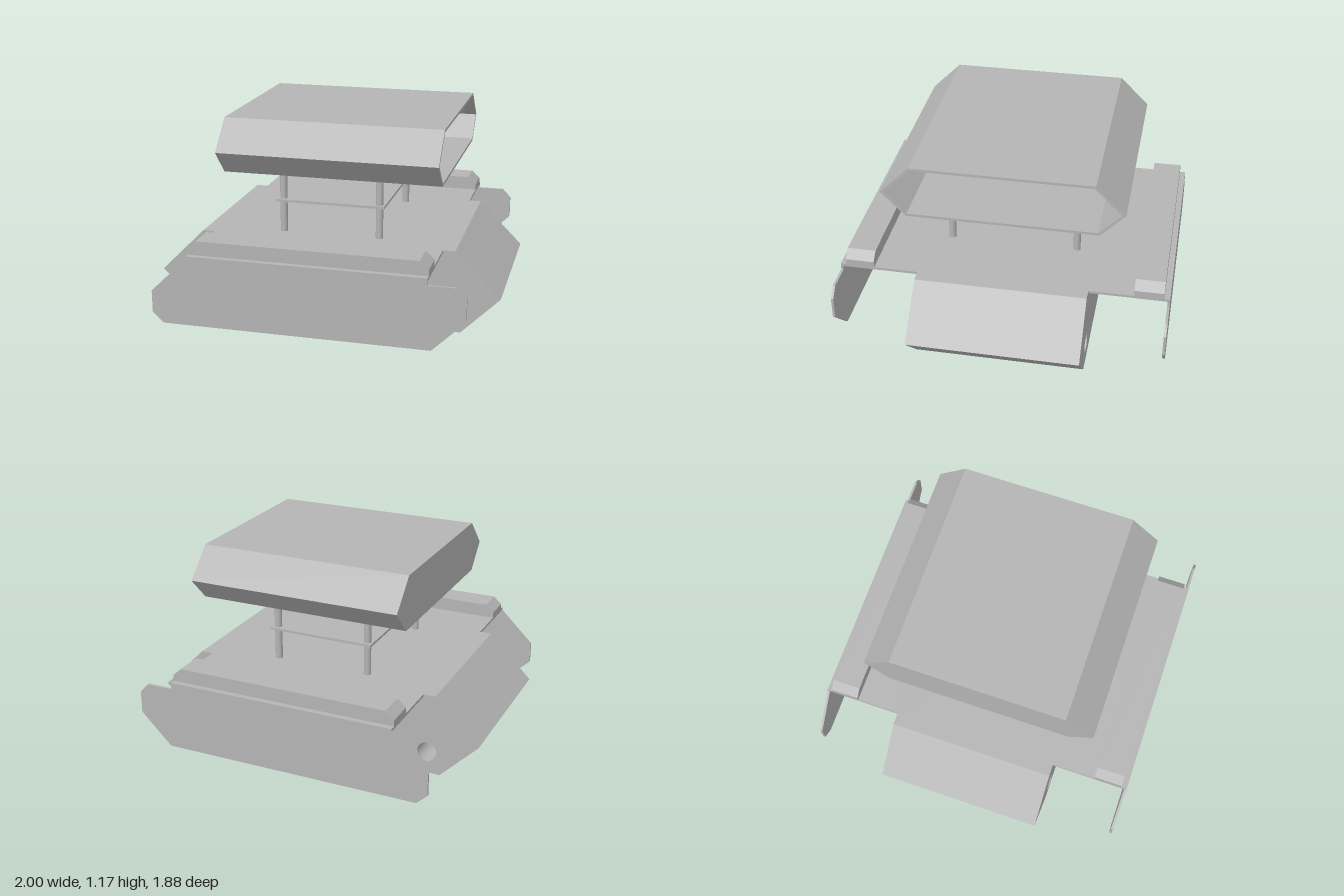
import * as THREE from 'three';

const steel = new THREE.MeshStandardMaterial({ color: 0xb4b4b4 });
steel.name = 'plainGrey';

const toVectors = (points) => points.map(([x, y]) => new THREE.Vector2(x, y));

// Flat plate or prism: an outline in x/y pushed along z from z0 to z1
function prism(outline, z0, z1, holes = []) {
  const shape = new THREE.Shape(toVectors(outline));
  shape.holes.push(...holes);
  const geometry = new THREE.ExtrudeGeometry(shape, { depth: z1 - z0, bevelEnabled: false, curveSegments: 24 });
  return geometry.translate(0, 0, z0);
}

function add(parent, name, geometry) {
  const mesh = new THREE.Mesh(geometry, steel);
  mesh.name = name;
  parent.add(mesh);
  return mesh;
}

export function createModel() {
  const model = new THREE.Group();
  model.name = 'trackedPlatform';

  // Six-sided hull with three axle bores running right through
  const hullOutline = [[-1, 0.22], [-0.78, 0], [0.78, 0], [1, 0.22], [0.74, 0.48], [-0.74, 0.48]];
  const bores = [-0.7, 0, 0.7].map((x) => new THREE.Path().absarc(x, 0.13, 0.057, 0, Math.PI * 2, true));
  add(model, 'hull', prism(hullOutline, -0.488, 0.488, bores));

  // Fender, stowage rail and skirt on each side
  const railOutline = [[-0.67, 0.48], [0.67, 0.48], [0.67, 0.515], [0.62, 0.56], [-0.62, 0.56], [-0.67, 0.515]];
  const skirtOutline = [
    [-0.877, 0.262], [-0.877, 0.135], [-0.815, 0.077], [0.695, 0.077], [0.877, 0.257], [0.877, 0.385],
    [0.825, 0.44], [0.67, 0.44], [0.67, 0.48], [-0.67, 0.48], [-0.67, 0.465],
  ];
  for (const side of [-1, 1]) {
    const span = (near, far) => (side > 0 ? [near, far] : [-far, -near]);
    const group = new THREE.Group();
    group.name = side > 0 ? 'frontSideGuard' : 'backSideGuard';
    model.add(group);
    add(group, 'fender', new THREE.BoxGeometry(1.34, 0.015, 0.44)).position.set(0, 0.4725, side * 0.707);
    add(group, 'rail', prism(railOutline, ...span(0.742, 0.907)));
    add(group, 'skirt', prism(skirtOutline, ...span(0.926, 0.94)));
  }

  // Four posts and the thin shelf they pass through
  for (const x of [-0.283, 0.283]) {
    for (const z of [-0.37, 0.37]) {
      add(model, 'post', new THREE.CylinderGeometry(0.021, 0.021, 0.385, 24)).position.set(x, 0.67, z);
    }
  }
  add(model, 'shelf', new THREE.BoxGeometry(0.635, 0.014, 0.81)).position.set(0, 0.67, 0);

  // Hollow six-sided canopy, open at +x and closed at -x
  const outer = [[-0.673, 1], [-0.535, 0.858], [0.535, 0.858], [0.673, 1], [0.507, 1.166], [-0.507, 1.166]];
  const inner = [[-0.652, 1], [-0.529, 0.873], [0.529, 0.873], [0.652, 1], [0.501, 1.151], [-0.501, 1.151]];
  const canopy = new THREE.Group();
  canopy.name = 'canopy';
  canopy.rotation.y = Math.PI / 2;
  add(canopy, 'canopyShell', prism(outer, -0.565, 0.668, [new THREE.Path(toVectors(inner))]));
  add(canopy, 'canopyEnd', prism(outer, -0.58, -0.565));
  model.add(canopy);

  return model;
}
